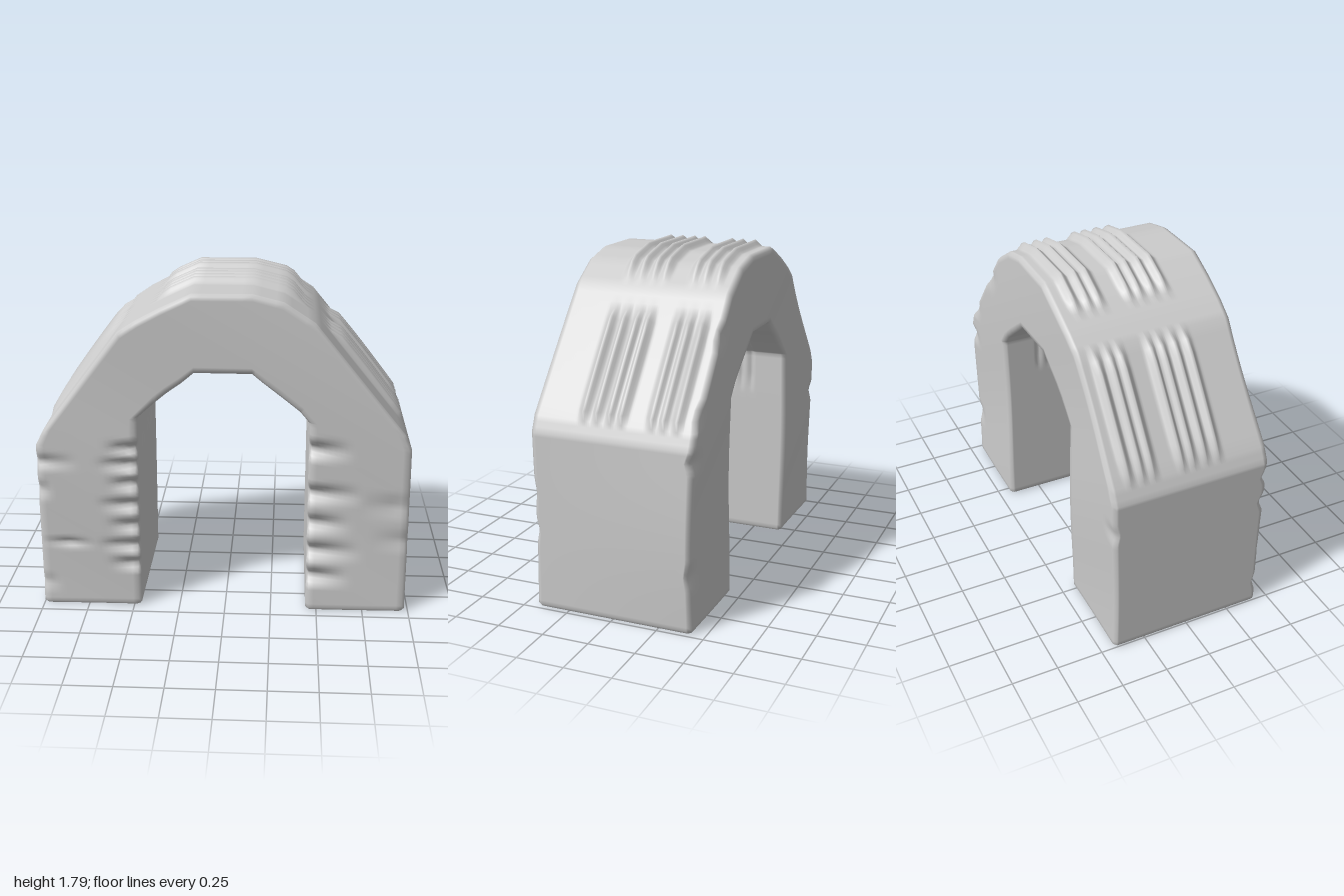
import * as THREE from 'three';

// Matched outer and inner points along the arch: [outerX, outerY, innerX, innerY, steps to next]
const stations = [
  [-1.0, 0, -0.46, 0, 1], [-1.0, 0.015, -0.46, 0.015, 48], [-1.0, 0.93, -0.46, 1.02, 3],
  [-0.96, 1.01, -0.46, 1.09, 10], [-0.55, 1.55, -0.36, 1.18, 3], [-0.46, 1.61, -0.3, 1.23, 3],
  [-0.33, 1.68, -0.23, 1.28, 4], [-0.17, 1.755, -0.16, 1.34, 6], [0.14, 1.755, 0.14, 1.34, 4],
  [0.3, 1.715, 0.2, 1.29, 4], [0.46, 1.61, 0.29, 1.22, 3], [0.55, 1.5, 0.39, 1.14, 10],
  [0.94, 1.02, 0.44, 1.08, 3], [0.975, 0.94, 0.44, 1.02, 48], [0.98, 0.015, 0.44, 0.015, 1], [0.98, 0, 0.44, 0, 0],
];

// Dents in the end faces: [x, y, face (1 front, -1 back), radiusX, radiusY, depth]
const dents = [
  ...[0.92, 0.83, 0.72, 0.6, 0.48, 0.36, 0.25].map((y, i) => [-0.45, y, 1, 0.18 + 0.05 * (i % 2), 0.045, 0.055]),
  ...[0.93, 0.68, 0.51, 0.35, 0.2].map((y, i) => [0.43, y, 1, 0.24 + 0.06 * (i % 2), 0.06, 0.055]),
  [-0.85, 0.37, 1, 0.15, 0.03, 0.025], [-1, 0.84, 1, 0.22, 0.05, 0.03], [-1, 0.68, 1, 0.07, 0.06, 0.035],
  [-1, 0.13, 1, 0.1, 0.06, 0.02], [0.9, 0.62, 1, 0.2, 0.08, 0.015], [0.98, 0.42, 1, 0.2, 0.07, 0.015],
  [0.9, 1.1, -1, 0.1, 0.06, 0.04], [0.98, 0.88, -1, 0.12, 0.06, 0.03], [0.98, 0.3, -1, 0.1, 0.08, 0.02],
  [0.62, 1.43, -1, 0.12, 0.06, 0.03], [-1, 0.75, -1, 0.1, 0.06, 0.02],
];

const ridges = [0.16, 0.09, 0.02, -0.04, -0.2, -0.26, -0.33];
const innerGrooves = [0.2, 0.13, -0.04, -0.1, -0.16, -0.22];
const strips = [[-0.95, -0.56], [-0.36, 0.4], [0.54, 0.94]];
const HALF = 0.43;
const clamp = THREE.MathUtils.clamp;
const comb = (z, list, r) => Math.max(0, ...list.map((c) => 1 - Math.abs(z - c) / r));

// Ring round the block: t runs 0 (inner) to 1 (outer); corners are narrowly chamfered
function ringPoints() {
  const ring = [];
  const nz = 82, nt = 18, zc = HALF - 0.017, tc = 0.03;
  for (let i = 0; i <= nz; i++) ring.push({ t: 1, z: -zc + 2 * zc * i / nz, row: 'outer' });
  for (let i = 0; i <= nt; i++) ring.push({ t: 1 - tc - (1 - 2 * tc) * i / nt, z: HALF, row: 'front' });
  for (let i = 0; i <= nz; i++) ring.push({ t: 0, z: zc - 2 * zc * i / nz, row: 'inner' });
  for (let i = 0; i <= nt; i++) ring.push({ t: tc + (1 - 2 * tc) * i / nt, z: -HALF, row: 'back' });
  return ring;
}

// Position of one ring point at one station, with ridges, grooves, dents and bulges
function place([ox, oy, ix, iy], { t, z, row }) {
  const dir = new THREE.Vector2(ox - ix, oy - iy).normalize();
  let x = ix + (ox - ix) * t;
  let y = iy + (oy - iy) * t;
  let push = 0;
  if (row === 'outer') {
    const mask = Math.max(...strips.map(([a, b]) => clamp(Math.min(ox - a, b - ox) / 0.04, 0, 1)));
    push = 0.037 * mask * comb(z, ridges, 0.035);
  } else if (row === 'inner') {
    push = 0.014 * clamp((iy - 0.85) / 0.1, 0, 1) * comb(z, innerGrooves, 0.022);
  }
  x += dir.x * push;
  y += dir.y * push;
  // Slight outward swelling of the left leg
  if (x > 0 && oy < 0.95) x += 0.017 * t * Math.sin(Math.PI * clamp(oy / 0.95, 0, 1)) * clamp(0.5 - z, 0, 1);
  const face = Math.sign(z);
  const nearFace = clamp((Math.abs(z) - 0.36) / 0.07, 0, 1);
  let dz = 0.006 * Math.sin(5 * y + 3 * x);
  for (const [cx, cy, side, rx, ry, d] of dents) {
    if (side !== face) continue;
    const k = Math.max(0, 1 - Math.abs(x - cx) / rx) * Math.max(0, 1 - Math.abs(y - cy) / ry);
    dz -= d * k;
    if (row === 'inner') x += Math.sign(cx) * 0.018 * k * nearFace;
  }
  // The foot tucks in slightly
  if (oy === 0) {
    x += (0.5 - t) * 0.02 * Math.sign(ox - ix);
    dz -= 0.01;
  }
  return [x, y, z + face * dz * nearFace];
}

function archGeometry() {
  const path = [];
  stations.forEach((s, i) => {
    for (let k = 0; k < Math.max(1, s[4]); k++) {
      const e = stations[i + 1] ?? s;
      path.push([0, 1, 2, 3].map((c) => s[c] + (e[c] - s[c]) * k / Math.max(1, s[4])));
    }
  });
  const ring = ringPoints();
  const n = ring.length;
  const pos = [];
  const index = [];
  for (const s of path) for (const p of ring) pos.push(...place(s, p));
  for (let i = 0; i < path.length - 1; i++) {
    for (let j = 0; j < n; j++) {
      const a = i * n + j, b = i * n + (j + 1) % n;
      index.push(a, b, a + n, b, b + n, a + n);
    }
  }
  // Soles of the two feet
  for (const [row, flip] of [[0, true], [path.length - 1, false]]) {
    const start = row * n, base = pos.length / 3;
    const [ox, , ix] = path[row];
    for (let j = 0; j < n; j++) pos.push(...pos.slice((start + j) * 3, (start + j) * 3 + 3));
    pos.push((ox + ix) / 2, 0, 0);
    for (let j = 0; j < n; j++) {
      const a = base + j, b = base + (j + 1) % n;
      index.push(base + n, flip ? b : a, flip ? a : b);
    }
  }
  const geo = new THREE.BufferGeometry();
  geo.setAttribute('position', new THREE.Float32BufferAttribute(pos, 3));
  geo.setIndex(index);
  geo.computeVertexNormals();
  return geo;
}

export function createModel() {
  const group = new THREE.Group();
  group.name = 'stoneArch';
  const arch = new THREE.Mesh(archGeometry(), new THREE.MeshStandardMaterial({ color: 0xcccccc, side: THREE.DoubleSide }));
  arch.name = 'archBlock';
  group.add(arch);
  return group;
}
